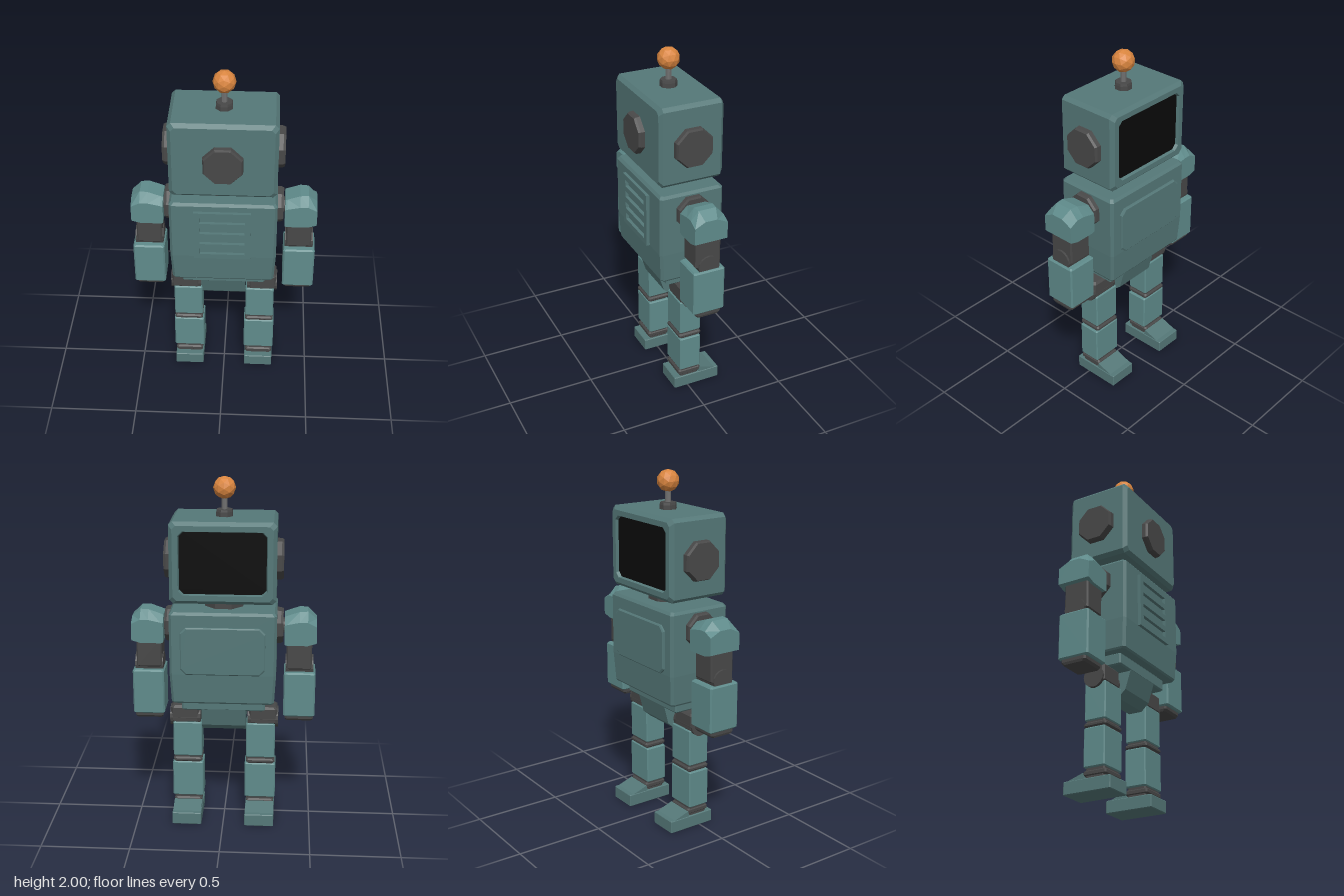
import * as THREE from 'three';

const mat = (color) => new THREE.MeshStandardMaterial({ color, flatShading: true });
const ZC = -0.0125; // depth of the body's middle

// Maps (u, v, w) to x, y, z with w running along the named axis
const toAxis = {
  x: (u, v, w) => [w, u, v],
  y: (u, v, w) => [v, w, u],
  z: (u, v, w) => [u, v, w],
};

// Solid through equal-length rings [{ w, pts }], pts counter-clockwise in (u, v)
function loft(axis, rings, endCap = true) {
  const pos = [];
  const put = (r, i) => pos.push(...toAxis[axis](...r.pts[i % r.pts.length], r.w));
  const n = rings[0].pts.length;
  for (let k = 0; k + 1 < rings.length; k++) {
    const a = rings[k], b = rings[k + 1];
    for (let i = 0; i < n; i++) {
      put(a, i); put(a, i + 1); put(b, i + 1);
      put(a, i); put(b, i + 1); put(b, i);
    }
  }
  const last = rings[rings.length - 1];
  for (let i = 1; i + 1 < n; i++) {
    put(rings[0], 0); put(rings[0], i + 1); put(rings[0], i);
    if (endCap) { put(last, 0); put(last, i); put(last, i + 1); }
  }
  const g = new THREE.BufferGeometry();
  g.setAttribute('position', new THREE.Float32BufferAttribute(pos, 3));
  g.computeVertexNormals();
  return g;
}

// Rectangle ring with cut corners
function rect(w, cu, cv, su, sv, c) {
  const a = su / 2, b = sv / 2;
  const pts = [[a, -b + c], [a, b - c], [a - c, b], [-a + c, b], [-a, b - c], [-a, -b + c], [-a + c, -b], [a - c, -b]];
  return { w, pts: pts.map(([u, v]) => [cu + u, cv + v]) };
}

// Box with bevelled edges
function block(x0, x1, y0, y1, z0, z1, c = 0.008) {
  const r = (y, d) => rect(y, (z0 + z1) / 2, (x0 + x1) / 2, z1 - z0 - 2 * d, x1 - x0 - 2 * d, c);
  return loft('y', [r(y0, c), r(y0 + c, 0), r(y1 - c, 0), r(y1, c)]);
}

// Octagonal disc, slightly narrower at its outer end
function disc(axis, cu, cv, size, w0, w1) {
  const r = (w, s) => rect(w, cu, cv, s, s, s * 0.293);
  return loft(axis, [r(w0, size), r(w0 + (w1 - w0) * 0.7, size * 0.98), r(w1, size * 0.92)]);
}

// Round pin lying along x
function pin(x0, x1, y, z, radius) {
  return new THREE.CylinderGeometry(radius, radius, x1 - x0, 16)
    .rotateZ(Math.PI / 2).translate((x0 + x1) / 2, y, z);
}

// Mirror copy across x = 0 with corner order restored
function mirror(geometry) {
  const g = geometry.index ? geometry.toNonIndexed() : geometry.clone();
  const p = g.attributes.position;
  for (let i = 0; i < p.count; i += 3) {
    const t = [0, 2, 1].map((k) => [-p.getX(i + k), p.getY(i + k), p.getZ(i + k)]);
    t.forEach((v, k) => p.setXYZ(i + k, ...v));
  }
  g.computeVertexNormals();
  return g;
}

export function createModel() {
  const model = new THREE.Group();
  model.name = 'robot';
  const body = mat(0x557878), limb = mat(0x5f8b8b), dark = mat(0x484848);
  const black = mat(0x0a0a0a), orange = mat(0xd9853f), metal = mat(0x707070);
  const add = (name, geometry, material) => {
    const m = new THREE.Mesh(geometry, material);
    m.name = name;
    model.add(m);
    return m;
  };
  const pair = (name, geometry, material) => {
    add(name + 'Left', geometry, material);
    add(name + 'Right', mirror(geometry), material);
  };

  // Head shell, built toward the face and turned round; the face is recessed
  const hr = (w, sx, sy, c) => rect(w, 0, 1.56, sx, sy, c);
  add('head', loft('z', [
    hr(-0.175, 0.54, 0.41, 0.02), hr(-0.155, 0.58, 0.45, 0.02),
    hr(0.18, 0.58, 0.45, 0.02), hr(0.2, 0.54, 0.41, 0.02),
    hr(0.2, 0.48, 0.35, 0.025), hr(0.182, 0.47, 0.34, 0.025),
  ], false), body).rotation.y = Math.PI;
  add('faceScreen', loft('z', [hr(0.17, 0.47, 0.34, 0.025), hr(0.183, 0.47, 0.34, 0.025)]), black).rotation.y = Math.PI;
  add('rearHeadDisc', disc('z', 0, 1.55, 0.215, 0.17, 0.21), dark);
  pair('ear', disc('x', 1.55, ZC, 0.215, 0.285, 0.327), dark);

  // Antenna and neck
  add('antennaBase', disc('y', ZC, 0, 0.09, 1.78, 1.822), dark);
  add('antennaRod', new THREE.CylinderGeometry(0.016, 0.016, 0.1, 8).translate(0, 1.86, ZC), metal);
  add('antennaBall', new THREE.IcosahedronGeometry(0.062, 1).translate(0, 1.938, ZC), orange);
  add('neck', loft('y', [1.27, 1.35].map((y) => rect(y, ZC, 0, 0.205, 0.21, 0.06))), dark);

  // Torso narrowing toward the waist
  const tr = (y, sz, sx) => rect(y, ZC, 0, sz, sx, 0.014);
  add('torso', loft('y', [
    tr(0.755, 0.34, 0.56), tr(0.765, 0.355, 0.572), tr(0.93, 0.375, 0.59),
    tr(1.272, 0.375, 0.59), tr(1.287, 0.35, 0.565),
  ]), body);

  // Slotted panel on one side, plain panel below the face
  const shapeOf = (x0, x1, y0, y1, Kind) => new Kind(
    [[x0, y0], [x1, y0], [x1, y1], [x0, y1]].map((p) => new THREE.Vector2(...p)));
  const vent = shapeOf(-0.16, 0.153, 0.93, 1.24, THREE.Shape);
  for (let i = 0; i < 4; i++) {
    const y = 0.98 + i * 0.07;
    vent.holes.push(shapeOf(-0.128, 0.12, y - 0.019, y + 0.019, THREE.Path));
  }
  add('ventPanel', new THREE.ExtrudeGeometry(vent, { depth: 0.022, bevelEnabled: false }).translate(0, 0, 0.172), body);
  add('chestPanel', loft('z', [
    rect(-0.215, 0, 1.07, 0.455, 0.26, 0.03), rect(-0.21, 0, 1.07, 0.467, 0.272, 0.03),
    rect(-0.195, 0, 1.07, 0.467, 0.272, 0.03),
  ]), body);

  // Pelvis: waist plate and wedge below
  add('waist', block(-0.235, 0.235, 0.69, 0.76, -0.13, 0.11), body);
  const wedge = [[0.548, -0.05], [0.59, -0.1], [0.7, -0.13], [0.7, 0.11], [0.59, 0.075], [0.548, 0.03]];
  add('pelvis', loft('x', [-0.125, 0.125].map((w) => ({ w, pts: wedge }))), body);

  // Arms
  pair('shoulderDisc', disc('x', 1.17, ZC, 0.19, 0.285, 0.33), dark);
  pair('shoulderPin', pin(0.32, 0.36, 1.17, ZC, 0.043), dark);
  const pad = (w, y0, yc, yt, zi) => ({
    w, pts: [[y0, -0.11], [yc, -0.11], [yt, ZC - zi], [yt, ZC + zi], [yc, 0.082], [y0, 0.082]],
  });
  pair('shoulderPad', loft('x', [
    pad(0.337, 1.085, 1.195, 1.235, 0.055), pad(0.35, 1.08, 1.2, 1.24, 0.055),
    pad(0.42, 1.08, 1.215, 1.265, 0.055), pad(0.465, 1.08, 1.215, 1.265, 0.05),
    pad(0.515, 1.095, 1.19, 1.22, 0.035),
  ]), limb);
  pair('upperArm', block(0.35, 0.492, 0.93, 1.1, -0.085, 0.063), dark);
  pair('elbow', pin(0.345, 0.503, 0.935, ZC, 0.062), dark);
  pair('forearm', block(0.337, 0.515, 0.652, 0.915, -0.103, 0.083), limb);
  const hand = (y, sz, sx) => rect(y, ZC, 0.427, sz, sx, 0.01);
  pair('hand', loft('y', [hand(0.622, 0.13, 0.15), hand(0.635, 0.15, 0.16), hand(0.67, 0.155, 0.16)]), dark);

  // Legs
  pair('hipBlock', block(0.143, 0.305, 0.585, 0.69, -0.072, 0.05, 0.012), dark);
  pair('hipPin', pin(0.135, 0.31, 0.617, ZC, 0.06), dark);
  pair('thigh', block(0.127, 0.293, 0.38, 0.592, -0.076, 0.053, 0.006), limb);
  pair('knee', block(0.135, 0.285, 0.33, 0.39, -0.07, 0.047), dark);
  pair('kneeBand', block(0.127, 0.293, 0.345, 0.372, -0.081, 0.057), dark);
  pair('shin', block(0.12, 0.298, 0.125, 0.342, -0.076, 0.053, 0.006), limb);
  pair('ankle', block(0.135, 0.285, 0.06, 0.135, -0.07, 0.045), dark);
  pair('ankleBand', block(0.13, 0.29, 0.082, 0.115, -0.081, 0.057), dark);
  pair('foot', block(0.125, 0.293, 0, 0.073, -0.2, 0.085, 0.004), body);
  const toe = [[0.065, -0.196], [0.104, -0.08], [0.065, -0.07]];
  pair('toeCap', loft('x', [0.128, 0.29].map((w) => ({ w, pts: toe }))), body);

  return model;
}
